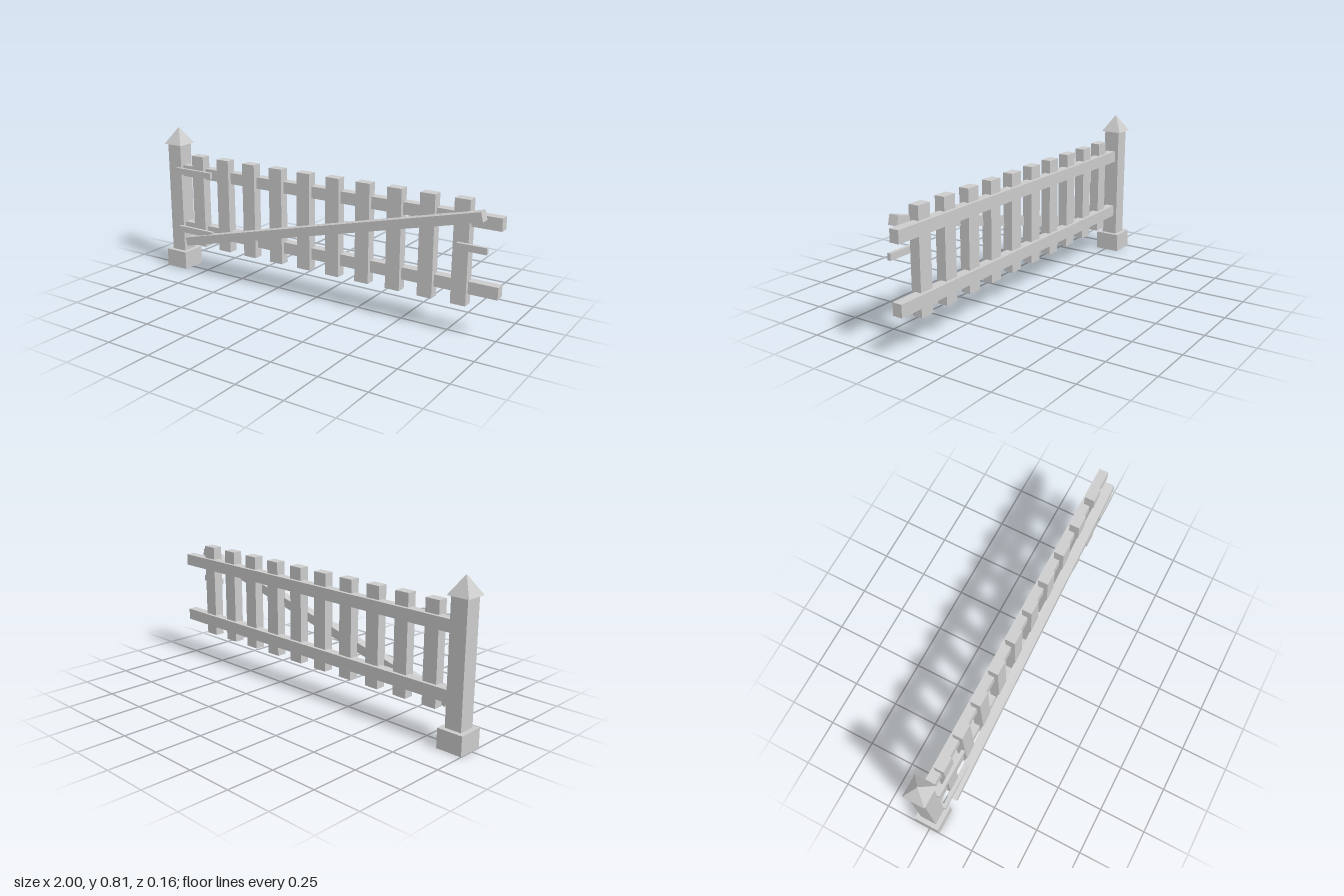
import * as THREE from 'three';

export function createModel() {
  const group = new THREE.Group();
  group.name = 'picketGate';
  const grey = new THREE.MeshStandardMaterial({ color: 0xcccccc });
  grey.name = 'plainGrey';

  const add = (name, geometry) => {
    const mesh = new THREE.Mesh(geometry, grey);
    mesh.name = name;
    group.add(mesh);
    return mesh;
  };
  // Box given by its extents along each axis
  const box = (name, [x0, x1], [y0, y1], [z0, z1]) => {
    const mesh = add(name, new THREE.BoxGeometry(x1 - x0, y1 - y0, z1 - z0));
    mesh.position.set((x0 + x1) / 2, (y0 + y1) / 2, (z0 + z1) / 2);
    return mesh;
  };

  // Post with footing and pyramid cap
  box('postFooting', [-1, -0.864], [0, 0.1], [-0.08, 0.057]);
  box('post', [-0.976, -0.888], [0.1, 0.718], [-0.055, 0.033]);
  const capGeometry = new THREE.CylinderGeometry(0.004, 0.116 / Math.SQRT2, 0.089, 4)
    .rotateY(Math.PI / 4).toNonIndexed();
  capGeometry.computeVertexNormals();
  add('postCap', capGeometry).position.set(-0.932, 0.7615, -0.011);

  // Horizontal rails behind the pickets, each with a hinge strap in front
  for (const [name, y] of [['lower', 0.21], ['upper', 0.54]]) {
    box(name + 'Rail', [-0.89, 1], [y, y + 0.062], [-0.036, 0.014]);
    const strapY = y + (name === 'lower' ? 0.013 : 0.02);
    box(name + 'Hinge', [-0.9, -0.657], [strapY, strapY + 0.034], [0.043, 0.06]);
  }

  // Pickets
  for (let i = 0; i < 10; i++) {
    const x = -0.764 + i * 0.1752;
    box('picket', [x - 0.039, x + 0.039], [0.154, 0.67], [-0.018, 0.035]);
  }

  // Diagonal brace across the front
  const brace = add('diagonalBrace', new THREE.BoxGeometry(1.81, 0.048, 0.051));
  brace.position.set(0.05, 0.396, 0.0555);
  brace.rotation.z = 0.242;

  // Latch bar
  box('latch', [0.807, 0.957], [0.438, 0.471], [0.054, 0.072]);

  return group;
}
